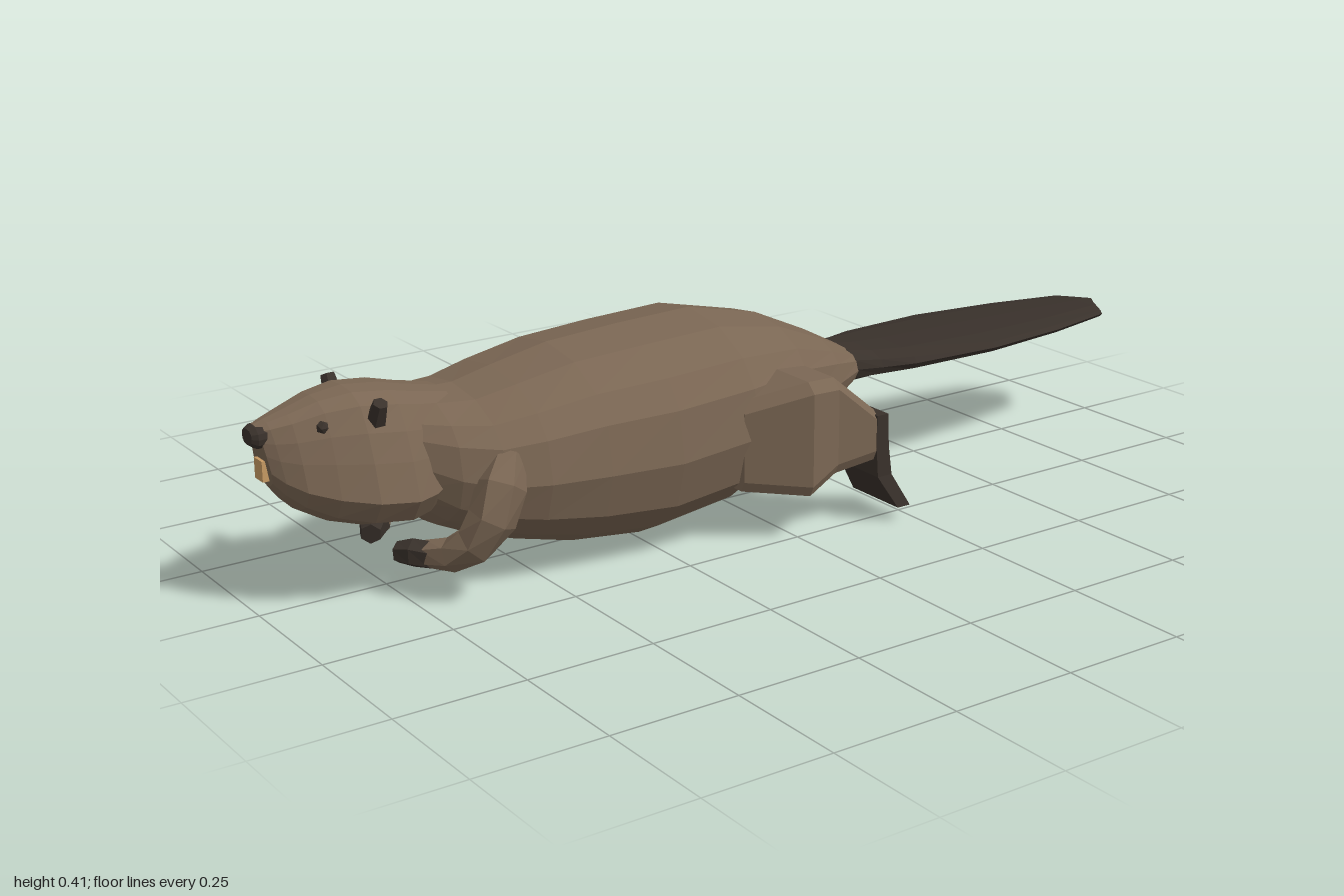
import * as THREE from 'three';

const mat = (color) => new THREE.MeshStandardMaterial({ color, flatShading: true, roughness: 0.9, side: THREE.DoubleSide });

// Skin a list of equal-length point rings, cap both ends, and turn faces outward
function loft(rings) {
  const tris = [];
  const n = rings[0].length;
  for (let i = 0; i < rings.length - 1; i++) {
    for (let j = 0; j < n; j++) {
      const k = (j + 1) % n;
      const [a, b, c, d] = [rings[i][j], rings[i][k], rings[i + 1][k], rings[i + 1][j]];
      tris.push([a, b, c], [a, c, d]);
    }
  }
  const cap = (ring, flip) => {
    const mid = ring.reduce((s, p) => s.add(p), new THREE.Vector3()).divideScalar(n);
    ring.forEach((p, j) => {
      const q = ring[(j + 1) % n];
      tris.push(flip ? [mid, q, p] : [mid, p, q]);
    });
  };
  cap(rings[0], true);
  cap(rings[rings.length - 1], false);
  const volume = tris.reduce((s, [a, b, c]) => s + a.dot(b.clone().cross(c)), 0);
  const pts = tris.flatMap(([a, b, c]) => (volume < 0 ? [a, c, b] : [a, b, c]));
  const geo = new THREE.BufferGeometry().setFromPoints(pts);
  geo.computeVertexNormals();
  return geo;
}

// Half profiles: fraction of half width, fraction of height, from top to bottom
const bodyProfile = [[0, 1], [0.44, 0.96], [0.77, 0.85], [0.93, 0.72], [1, 0.48], [0.9, 0.26], [0.6, 0.11], [0.33, 0.03], [0, 0]];
const headProfile = [[0, 1], [0.3, 0.985], [0.54, 0.92], [0.72, 0.75], [0.86, 0.55], [1, 0.28], [0.8, 0.11], [0.4, 0.03], [0, 0]];
const tailProfile = [[0, 1], [0.6, 0.95], [0.93, 0.75], [1, 0.5], [0.93, 0.25], [0.6, 0.05], [0, 0]];

// Section: [z at top, half width, bottom y, top y, z at bottom]
function section(profile, [z, w, y0, y1, zLow = z]) {
  const at = ([fx, fy], s) => new THREE.Vector3(s * fx * w, y0 + fy * (y1 - y0), zLow + fy * (z - zLow));
  return [...profile.map((p) => at(p, 1)), ...profile.slice(1, -1).reverse().map((p) => at(p, -1))];
}
const profileLoft = (profile, sections) => loft(sections.map((s) => section(profile, s)));

// Chamfered box section across z: [z, x0, x1, y0, y1]
function slab([z, x0, x1, y0, y1], s) {
  const c = 0.02;
  return [[x0, y0], [x1 - c / 2, y0], [x1, y0 + c], [x1, y1 - c], [x1 - c, y1], [x0, y1]]
    .map(([x, y]) => new THREE.Vector3(s * x, y, z));
}

// Limb: rings of six points around a path, [x, y, z, radius]
function limb(path, s) {
  const pts = path.map(([x, y, z]) => new THREE.Vector3(s * x, y, z));
  return loft(pts.map((p, i) => {
    const dir = pts[Math.min(i + 1, pts.length - 1)].clone().sub(pts[Math.max(i - 1, 0)]).normalize();
    const u = new THREE.Vector3(0, 0, 1).addScaledVector(dir, -dir.z).normalize();
    const v = dir.clone().cross(u);
    return Array.from({ length: 6 }, (_, k) => {
      const a = (k + 0.5) * Math.PI / 3;
      return p.clone().addScaledVector(u, path[i][3] * Math.cos(a)).addScaledVector(v, path[i][3] * Math.sin(a));
    });
  }));
}

export function createModel() {
  const model = new THREE.Group();
  const fur = mat(0x7a6653);
  const dark = mat(0x39312b);
  const ivory = mat(0xc79a63);
  const add = (name, geo, material, parent = model) => {
    const mesh = new THREE.Mesh(geo, material);
    mesh.name = name;
    parent.add(mesh);
    return mesh;
  };

  // Body, from the root of the tail to the neck
  add('body', profileLoft(bodyProfile, [
    [-0.285, 0.078, 0.208, 0.28], [-0.2, 0.125, 0.165, 0.325], [-0.08, 0.18, 0.105, 0.38],
    [0.08, 0.235, 0.027, 0.417], [0.25, 0.235, 0.003, 0.412], [0.4, 0.225, 0.02, 0.403],
    [0.52, 0.215, 0.052, 0.38], [0.6, 0.195, 0.078, 0.362], [0.67, 0.16, 0.11, 0.363], [0.73, 0.11, 0.16, 0.36],
  ]), fur);

  // Head, with heavy cheeks and a narrow muzzle
  const head = new THREE.Group();
  head.name = 'head';
  model.add(head);
  add('skull', profileLoft(headProfile, [
    [0.63, 0.12, 0.18, 0.362, 0.67], [0.7, 0.135, 0.145, 0.377, 0.71], [0.75, 0.15, 0.138, 0.39, 0.75],
    [0.82, 0.14, 0.145, 0.398, 0.82], [0.88, 0.11, 0.163, 0.39, 0.88], [0.935, 0.08, 0.19, 0.373, 0.925],
    [0.97, 0.053, 0.215, 0.363, 0.95], [0.988, 0.034, 0.24, 0.357, 0.968],
  ]), fur, head);
  add('nose', profileLoft(tailProfile, [
    [0.96, 0.029, 0.315, 0.358], [0.99, 0.028, 0.315, 0.356], [1, 0.02, 0.322, 0.351],
  ]), dark, head);
  add('teeth', new THREE.BoxGeometry(0.032, 0.038, 0.03), ivory, head).position.set(0, 0.273, 0.968);

  // Flat paddle tail
  add('tail', profileLoft(tailProfile, [
    [-0.275, 0.08, 0.208, 0.282], [-0.33, 0.098, 0.215, 0.275], [-0.4, 0.12, 0.222, 0.271], [-0.6, 0.134, 0.228, 0.268],
    [-0.8, 0.112, 0.232, 0.264], [-0.96, 0.078, 0.235, 0.261], [-1, 0.008, 0.237, 0.259],
  ]), dark);

  for (const s of [1, -1]) {
    const side = s > 0 ? 'left' : 'right';
    // Small ears and eyes
    const ear = add(side + 'Ear', new THREE.CylinderGeometry(0.014, 0.02, 0.045, 6), dark, head);
    ear.position.set(s * 0.092, 0.366, 0.795);
    ear.rotation.z = -s * 0.5;
    const eye = add(side + 'Eye', new THREE.IcosahedronGeometry(0.012, 0), dark, head);
    eye.position.set(s * 0.068, 0.351, 0.89);

    // Front leg, curving inward to a small paw
    const front = new THREE.Group();
    front.name = side + 'FrontLeg';
    model.add(front);
    add('arm', limb([
      [0.165, 0.265, 0.58, 0.03], [0.188, 0.22, 0.61, 0.046], [0.195, 0.165, 0.635, 0.045],
      [0.175, 0.118, 0.66, 0.04], [0.14, 0.092, 0.69, 0.032], [0.095, 0.085, 0.715, 0.026],
    ], s), fur, front);
    add('paw', limb([[0.105, 0.085, 0.71, 0.027], [0.08, 0.087, 0.733, 0.027], [0.053, 0.083, 0.75, 0.02]], s), dark, front);

    // Back leg, trailing, with a webbed foot hanging behind
    const back = new THREE.Group();
    back.name = side + 'BackLeg';
    model.add(back);
    add('thigh', loft([
      [0.11, 0.14, 0.228, 0.11, 0.285], [0.0, 0.15, 0.298, 0.098, 0.322],
      [-0.08, 0.16, 0.272, 0.12, 0.31], [-0.17, 0.19, 0.285, 0.135, 0.232],
    ].map((r) => slab(r, s))), fur, back);
    // Foot sections run downward: [y, x0, x1, z0, z1]
    add('foot', loft([
      [0.225, 0.195, 0.285, -0.19, -0.163], [0.16, 0.19, 0.285, -0.193, -0.163],
      [0.1, 0.172, 0.287, -0.2, -0.166], [0.032, 0.16, 0.299, -0.238, -0.208],
    ].map(([y, x0, x1, z0, z1]) => [[x0, z0], [x1, z0], [x1, z1], [x0, z1]]
      .map(([x, z]) => new THREE.Vector3(s * x, y, z)))), dark, back);
  }
  return model;
}
